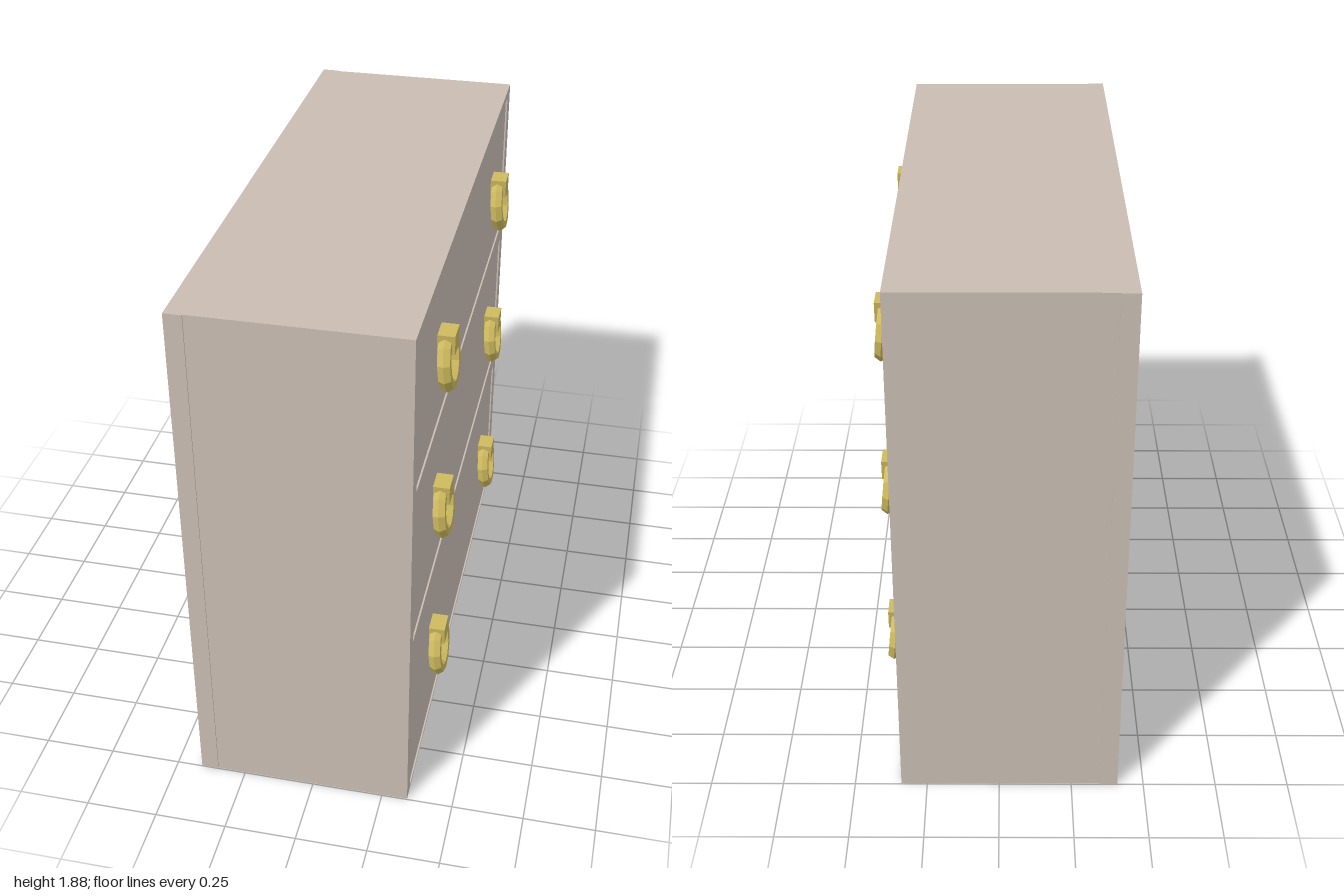
import * as THREE from 'three';

export function createModel() {
  const model = new THREE.Group();
  model.name = 'chestOfDrawers';
  const wood = new THREE.MeshStandardMaterial({ color: 0xc8bcb2 });
  wood.name = 'paleWood';
  const brass = new THREE.MeshStandardMaterial({ color: 0xcdb95e, flatShading: true });
  brass.name = 'brass';

  function add(parent, name, geometry, material, x = 0, y = 0, z = 0) {
    const mesh = new THREE.Mesh(geometry, material);
    mesh.name = name;
    mesh.position.set(x, y, z);
    parent.add(mesh);
    return mesh;
  }

  // Extrudes an outline drawn in (-z, y) along +x
  function extrudeX(shape, depth) {
    return new THREE.ExtrudeGeometry(shape, { depth, bevelEnabled: false }).rotateY(Math.PI / 2);
  }

  function outline(Type, points) {
    return new Type(points.map(([a, b]) => new THREE.Vector2(a, b)));
  }

  const height = 1.875;
  const drawers = [[0.01, 0.62], [0.69, 1.23], [1.3, 1.845]];
  const ringHeights = [0.35, 0.975, 1.56];

  // Carcass and slightly wider back panel
  add(model, 'carcass', new THREE.BoxGeometry(0.67, height, 1.991), wood, -0.015, height / 2, 0.0005);
  add(model, 'backPanel', new THREE.BoxGeometry(0.06, height, 2), wood, -0.38, height / 2, 0);

  // Face frame with an opening for each drawer
  const face = outline(THREE.Shape, [[-0.996, 0], [0.995, 0], [0.995, height], [-0.996, height]]);
  for (const [low, high] of drawers) {
    face.holes.push(outline(THREE.Path, [[-0.94, low], [-0.94, high], [0.93, high], [0.93, low]]));
  }
  add(model, 'faceFrame', extrudeX(face, 0.02), wood, 0.32);

  // Slightly recessed drawer fronts, each with two ring pulls
  const ring = new THREE.TorusGeometry(0.083, 0.024, 6, 11).rotateY(Math.PI / 2).rotateZ(0.1);
  const mount = extrudeX(
    outline(THREE.Shape, [[-0.033, 0.037], [0.033, 0.037], [0.041, 0.108], [-0.041, 0.108]]), 0.057);
  drawers.forEach(([low, high], i) => {
    const drawer = new THREE.Group();
    drawer.name = 'drawer';
    model.add(drawer);
    add(drawer, 'drawerFront', new THREE.BoxGeometry(0.014, high - low, 1.87), wood,
      0.327, (low + high) / 2, 0.005);
    for (const z of [0.57, -0.588]) {
      add(drawer, 'pullRing', ring, brass, 0.371, ringHeights[i], z);
      add(drawer, 'pullMount', mount, brass, 0.338, ringHeights[i], z);
    }
  });

  return model;
}
